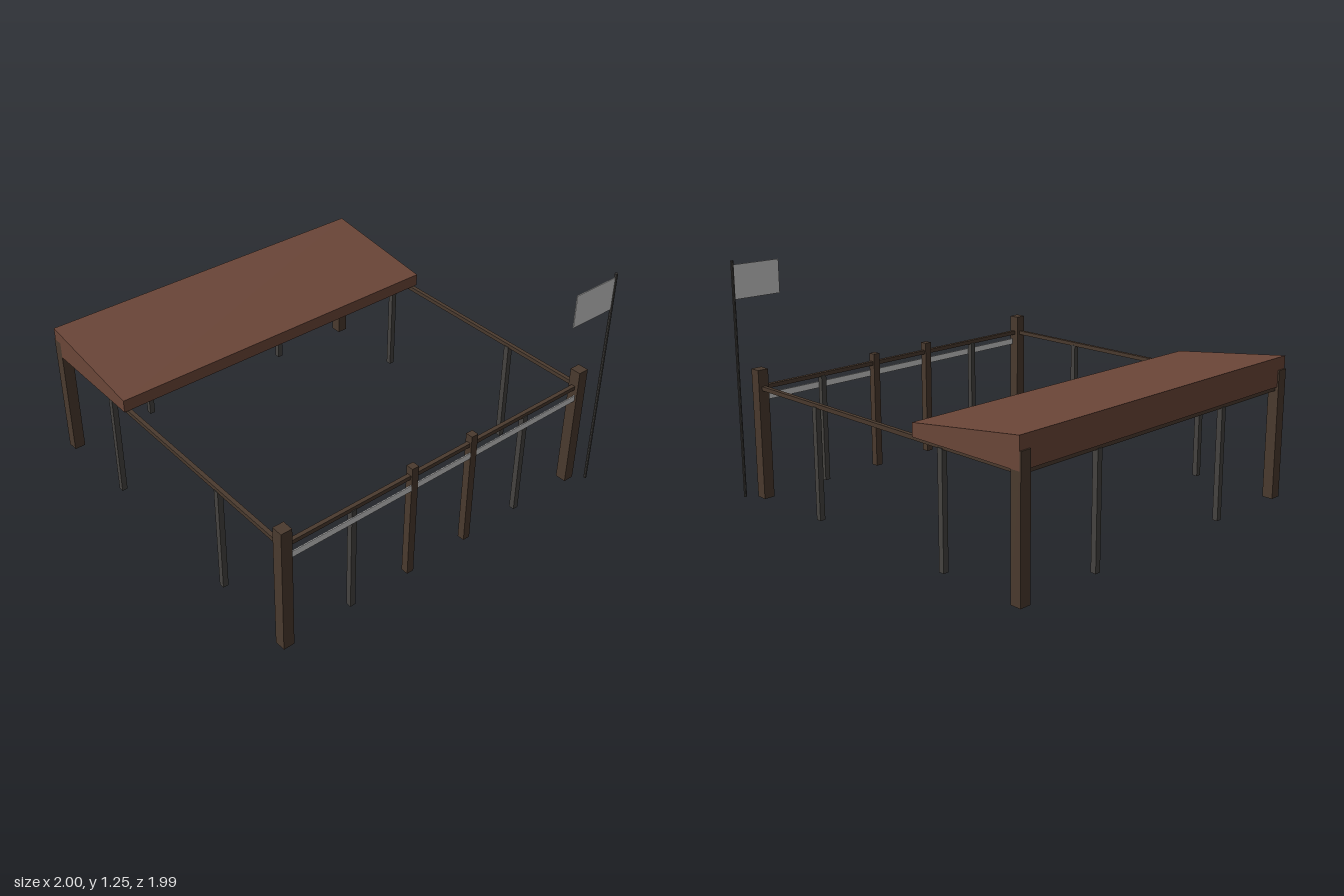
import * as THREE from 'three';

const mat = (color, side = THREE.FrontSide) =>
  new THREE.MeshStandardMaterial({ color, side, flatShading: true });

export function createModel() {
  const group = new THREE.Group();
  const wood = mat(0x4a3a2e);
  const iron = mat(0x454340);
  const roofPaint = mat(0x6b4638);
  const grey = mat(0xcccccc, THREE.DoubleSide);

  // Box from its centre in x and z, its bottom and its size
  const box = (name, material, x, bottom, z, w, h, d) => {
    const mesh = new THREE.Mesh(new THREE.BoxGeometry(w, h, d), material);
    mesh.position.set(x, bottom + h / 2, z);
    mesh.name = name;
    group.add(mesh);
  };

  const cx = -0.03, halfX = 0.94; // centre and half span of the frame
  const front = 0.912, back = -0.968;
  const midZ = (front + back) / 2, spanZ = front - back;

  // Corner posts, side rails and side supports
  for (const s of [-1, 1]) {
    const x = cx + s * halfX;
    for (const z of [front, back]) box('cornerPost', wood, x, 0, z, 0.06, 0.695, 0.06);
    box('sideRail', wood, x, 0.585, midZ, 0.022, 0.022, spanZ);
    for (const z of [0.433, -0.485]) box('sideSupport', iron, x, 0, z, 0.03, 0.59, 0.03);

    // Gate posts and thin supports along the front and back
    box('gatePost', wood, cx + s * 0.19, 0, front, 0.04, 0.65, 0.04);
    box('frontSupport', iron, cx + s * 0.55, 0, front, 0.03, 0.59, 0.03);
    box('backSupport', iron, cx + s * 0.46, 0, back, 0.03, 0.59, 0.03);
  }

  // Front and back rails
  for (const z of [front, back]) box('crossRail', wood, cx, 0.585, z, 2 * halfX, 0.022, 0.022);

  // Band hung below the front rail
  box('frontBand', grey, cx, 0.52, 0.928, 1.82, 0.034, 0.006);

  // Lean-to roof: a side profile (z, y) extruded along x
  const profile = new THREE.Shape([
    [0.32, 0.607], [0.99, 0.607], [0.99, 0.763], [0.32, 0.675],
  ].map(([z, y]) => new THREE.Vector2(z, y)));
  const roofGeo = new THREE.ExtrudeGeometry(profile, { depth: 1.94, bevelEnabled: false });
  roofGeo.rotateY(Math.PI / 2).translate(-1, 0, 0);
  const roof = new THREE.Mesh(roofGeo, roofPaint);
  roof.name = 'roof';
  group.add(roof);

  // Flagpole and flag
  const pole = new THREE.Mesh(new THREE.CylinderGeometry(0.008, 0.008, 1.255, 8), iron);
  pole.position.set(0.99, 0.6275, 0.988);
  pole.name = 'flagpole';
  group.add(pole);
  box('flag', grey, 0.85, 1.055, 0.988, 0.27, 0.178, 0.005);

  return group;
}
